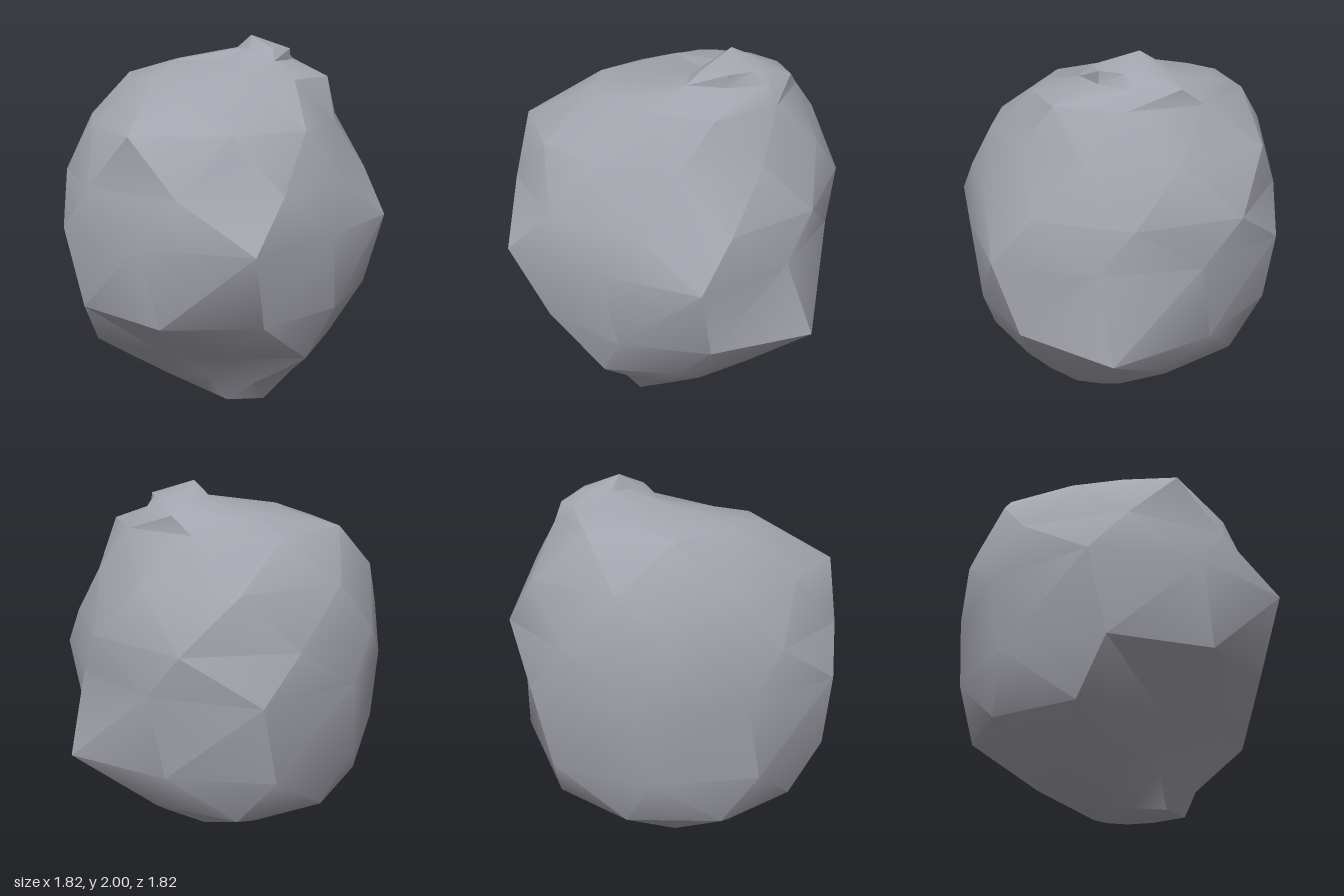
import * as THREE from 'three';
import { toCreasedNormals } from 'three/addons/utils/BufferGeometryUtils.js';

// Horizontal cross-sections of the boulder, bottom to top. Radii run in equal
// steps from +x through +z; every second section is turned by half a step.
const SECTIONS = [
  { y: 0.04, r: [0.2, 0.24, 0.34, 0.28, 0.2, 0.2, 0.18, 0.15, 0.15, 0.17] },
  { y: 0.2, r: [0.42, 0.44, 0.43, 0.32, 0.42, 0.49, 0.49, 0.44, 0.43, 0.42] },
  { y: 0.4, r: [0.63, 0.6, 0.66, 0.52, 0.56, 0.74, 0.76, 0.76, 0.75, 0.67] },
  { y: 0.66, twist: 0.12, r: [0.78, 0.73, 0.77, 0.82, 0.85, 0.85, 0.84, 0.88, 0.83, 0.93] },
  { y: 1.07, twist: -0.1, r: [0.8, 0.87, 0.76, 0.93, 0.88, 0.91, 0.86, 0.87, 0.93, 0.84] },
  { y: 1.3, r: [0.77, 0.7, 0.77, 0.83, 0.85, 0.86, 0.86, 0.88, 0.9, 0.82] },
  { y: 1.57, r: [0.67, 0.59, 0.62, 0.68, 0.81, 0.72, 0.78, 0.82, 0.84, 0.75] },
  { y: 1.79, r: [0.55, 0.42, 0.33, 0.4, 0.45, 0.47, 0.66, 0.68, 0.64, 0.59] },
  // crown, shifted off centre, with a hollow in its front right
  { y: 1.87, x: 0.14, z: -0.2, r: [0.35, 0.31, 0.32, 0.16, 0.1, 0.35, 0.34, 0.33, 0.33, 0.36] },
  { y: 1.93, x: 0.26, z: -0.2, r: [0.17, 0.22, 0.24, 0.14, 0.08, 0.09, 0.12, 0.14, 0.16, 0.17] },
];
const BASE = [-0.09, 0, 0.1];
const PEAK = [0.23, 2, -0.19];

function boulderGeometry() {
  const n = SECTIONS[0].r.length;
  const last = SECTIONS.length - 1;
  const positions = [...BASE];
  SECTIONS.forEach(({ y, x = 0, z = 0, twist = 0, r }, k) => {
    r.forEach((radius, i) => {
      const a = twist + ((i + (k % 2) / 2) / n) * Math.PI * 2;
      positions.push(x + radius * Math.cos(a), y, z + radius * Math.sin(a));
    });
  });
  positions.push(...PEAK);

  const id = (k, i) => 1 + k * n + (i % n);
  const peak = 1 + SECTIONS.length * n;
  const index = [];
  for (let i = 0; i < n; i++) {
    index.push(0, id(0, i), id(0, i + 1));
    for (let k = 0; k < last; k++) {
      const a = id(k, i), b = id(k, i + 1), c = id(k + 1, i), d = id(k + 1, i + 1);
      if (k % 2) index.push(a, c, d, a, d, b);
      else index.push(a, c, b, b, c, d);
    }
    index.push(id(last, i), peak, id(last, i + 1));
  }
  const geometry = new THREE.BufferGeometry();
  geometry.setAttribute('position', new THREE.Float32BufferAttribute(positions, 3));
  geometry.setIndex(index);
  // soft faces with sharp breaks at the strong edges
  return toCreasedNormals(geometry, 0.55);
}

export function createModel() {
  const group = new THREE.Group();
  group.name = 'rock';
  const boulder = new THREE.Mesh(
    boulderGeometry(),
    new THREE.MeshStandardMaterial({ color: 0xa4a4ae })
  );
  boulder.name = 'boulder';
  group.add(boulder);
  return group;
}
